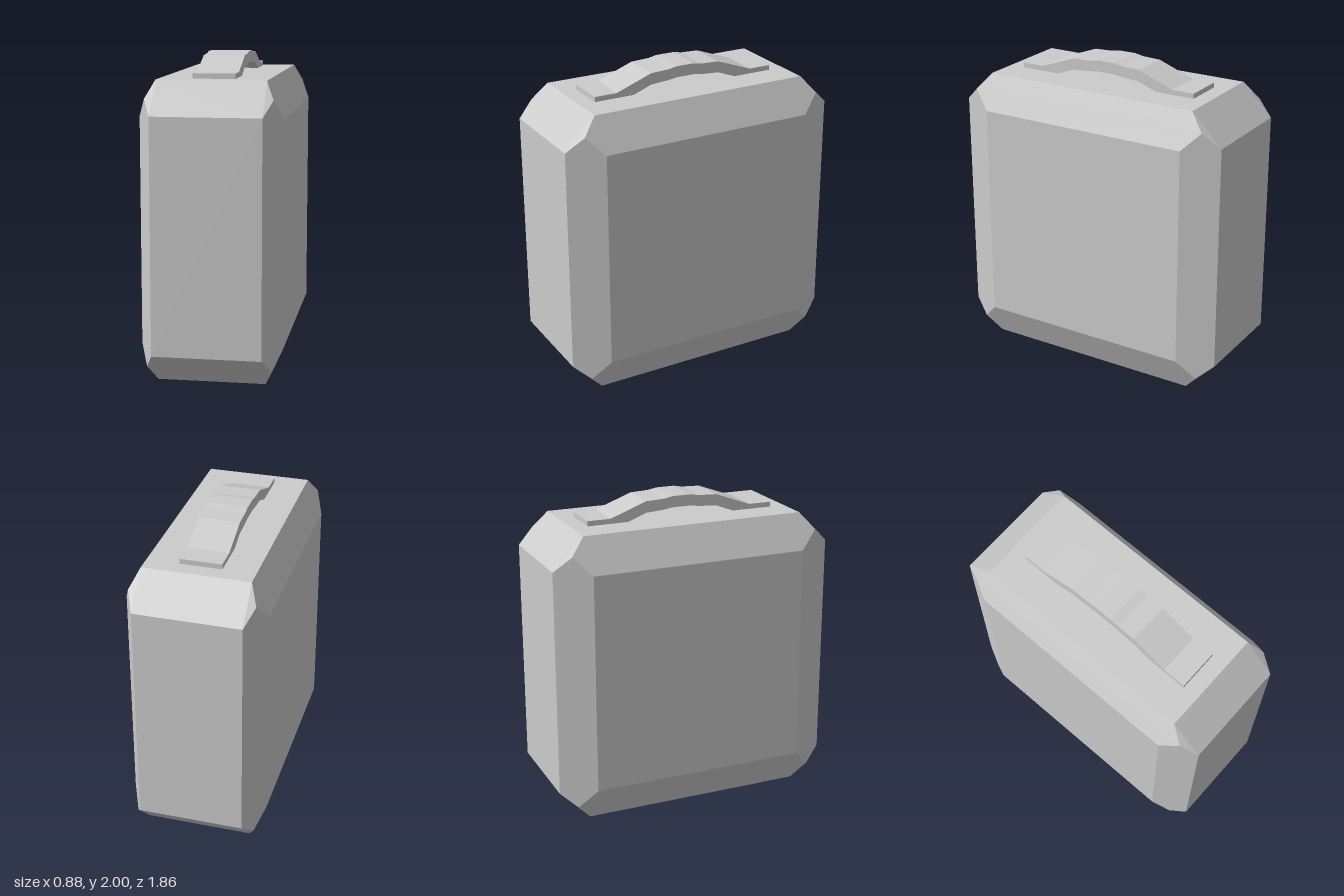
import * as THREE from 'three';
import { ConvexGeometry } from 'three/addons/geometries/ConvexGeometry.js';

const material = new THREE.MeshStandardMaterial({ color: 0xcccccc, flatShading: true });

// Case: a block with bevelled edges; four points per corner, mirrored to all eight
function caseBody() {
  const midY = 0.9325;
  const corner = [
    [0.442, 0.708, 0.708], // corner of the side panel
    [0.337, 0.9325, 0.73], // corner of the top or bottom panel
    [0.337, 0.73, 0.93],   // corner of the front or back panel
    [0.388, 0.824, 0.822], // point where the three bevels meet
  ];
  const points = [];
  for (const sx of [-1, 1]) for (const sy of [-1, 1]) for (const sz of [-1, 1]) {
    for (const [x, y, z] of corner) points.push(new THREE.Vector3(sx * x, midY + sy * y, sz * z));
  }
  const mesh = new THREE.Mesh(new ConvexGeometry(points), material);
  mesh.name = 'caseBody';
  return mesh;
}

// Handle: an arched strap with flat feet, half profile (z, y) mirrored and extruded across x
function handle() {
  const outer = [[0.627, 1.864], [0.627, 1.897], [0.478, 1.897], [0.24, 1.984], [0.12, 1.989], [0.06, 2]];
  const inner = [[0.06, 1.928], [0.12, 1.919], [0.24, 1.911], [0.365, 1.864]];
  const mirror = (list) => list.map(([z, y]) => [-z, y]).reverse();
  const outline = [...outer, ...mirror(outer), ...mirror(inner), ...inner];
  const shape = new THREE.Shape(outline.map(([z, y]) => new THREE.Vector2(z, y)));
  const width = 0.262;
  const geometry = new THREE.ExtrudeGeometry(shape, { depth: width, bevelEnabled: false });
  geometry.translate(0, 0, -width / 2).rotateY(-Math.PI / 2);
  const mesh = new THREE.Mesh(geometry, material);
  mesh.name = 'handle';
  return mesh;
}

export function createModel() {
  const model = new THREE.Group();
  model.name = 'carryCase';
  model.add(caseBody(), handle());
  return model;
}
